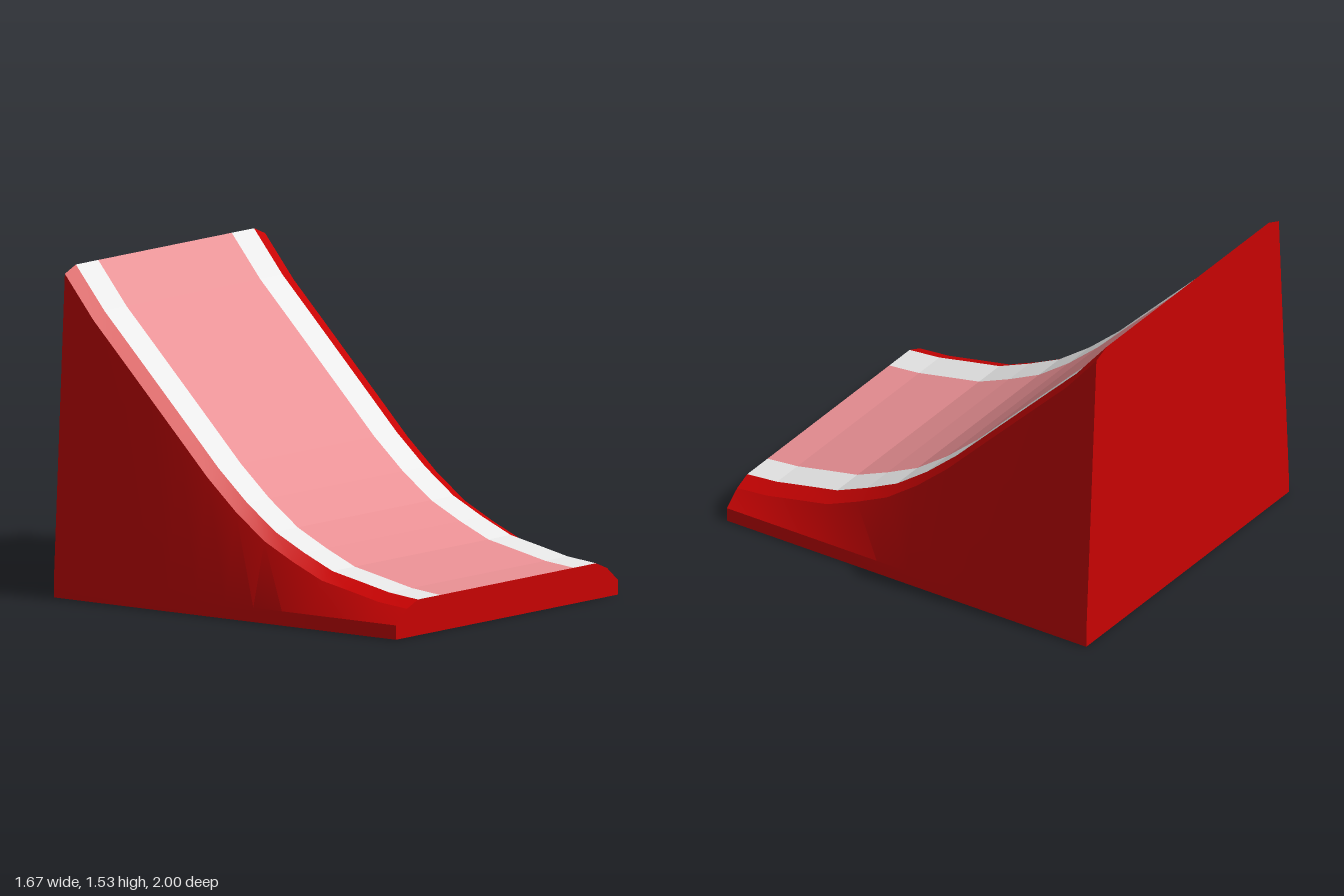
import * as THREE from 'three';
import { toCreasedNormals } from 'three/addons/utils/BufferGeometryUtils.js';

// Ramp surface heights, evenly spaced from the front (z = 1) to the back (z = -1)
const HEIGHTS = [0.167, 0.183, 0.217, 0.25, 0.32, 0.4, 0.52, 0.665, 0.833, 1.0, 1.167, 1.333, 1.533];
const STEPS = HEIGHTS.length - 1;

// Cross-section at one step, running from the right foot over the top to the left foot
function section(i) {
  const h = HEIGHTS[i];
  const z = 1 - (2 * i) / STEPS;
  const half = [[0.833, 0], [0.833, 0.067], [0.75, h - 0.033], [0.667, h], [0.5, h]];
  const right = half.map(([x, y]) => [-x, y, z]);
  const left = half.map(([x, y]) => [x, y, z]).reverse();
  return [...right, ...left];
}

function flatGeometry(positions) {
  const geometry = new THREE.BufferGeometry();
  geometry.setAttribute('position', new THREE.Float32BufferAttribute(positions.flat(), 3));
  geometry.computeVertexNormals();
  return geometry;
}

// Lengthwise skin between neighbouring section points from index a to b
function skin(a, b) {
  const p = [];
  for (let i = 0; i < STEPS; i++) {
    const near = section(i);
    const far = section(i + 1);
    for (let k = a; k < b; k++) {
      p.push(near[k], near[k + 1], far[k + 1], near[k], far[k + 1], far[k]);
    }
  }
  return flatGeometry(p);
}

// End wall closing the section at the front or back
function endWall(i, isFront) {
  const s = section(i);
  const p = [];
  for (let k = 1; k < s.length - 1; k++) {
    p.push(s[0], ...(isFront ? [s[k + 1], s[k]] : [s[k], s[k + 1]]));
  }
  return flatGeometry(p);
}

export function createModel() {
  const material = (name, color) => {
    const m = new THREE.MeshStandardMaterial({ color });
    m.name = name;
    return m;
  };
  const red = material('red', 0xc80202);
  const darkRed = material('darkRed', 0x740000);
  const white = material('white', 0xf0f0f0);
  const pink = material('pink', 0xf09498);

  const group = new THREE.Group();
  group.name = 'ramp';
  const add = (name, geometry, mat) => {
    const mesh = new THREE.Mesh(geometry, mat);
    mesh.name = name;
    group.add(mesh);
  };

  // Softly curved sides with bevelled shoulders
  add('rightSide', toCreasedNormals(skin(0, 3), 0.3), red);
  add('leftSide', toCreasedNormals(skin(6, 9), 0.3), red);

  // Faceted riding surface with its border stripes
  add('rightStripe', skin(3, 4), white);
  add('rampSurface', skin(4, 5), pink);
  add('leftStripe', skin(5, 6), white);

  // Front lip, back wall and underside
  add('frontLip', endWall(0, true), red);
  add('backWall', endWall(STEPS, false), red);
  const base = new THREE.PlaneGeometry(1.666, 2);
  base.rotateX(Math.PI / 2);
  add('underside', base, darkRed);

  return group;
}
